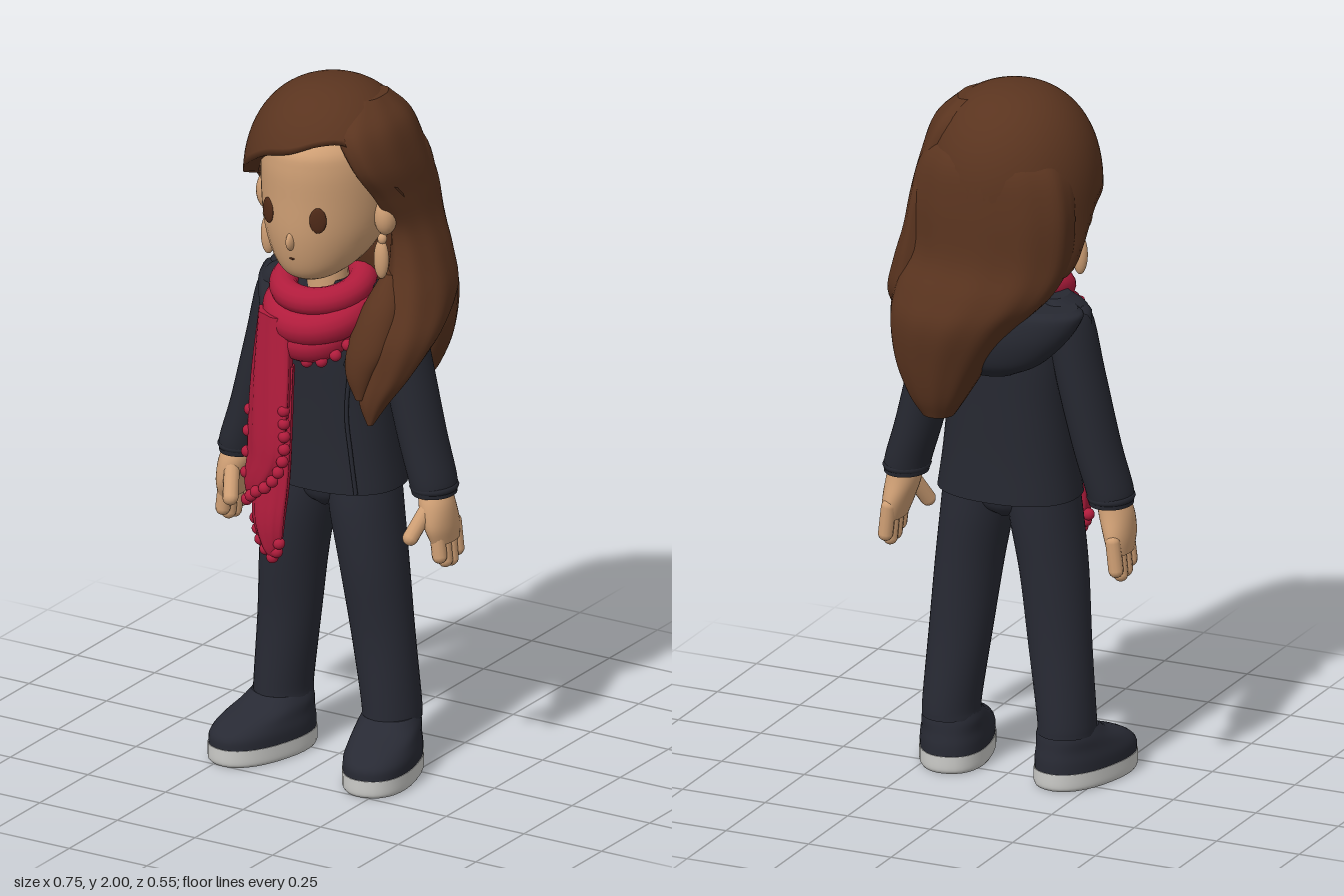
import * as THREE from 'three';

const mat = (name, color, side = THREE.FrontSide) => {
  const m = new THREE.MeshStandardMaterial({ color, side });
  m.name = name;
  return m;
};

// Smooth body through elliptical sections [y, cx, cz, rx, rz]; ripple adds soft lobes.
function loft(sections, { s = 1, seg = 32, rows = 5, power = 2, ripple = 0, lobes = 9 } = {}) {
  const list = [...sections].sort((a, b) => a[0] - b[0]);
  const path = new THREE.CatmullRomCurve3(list.map(p => new THREE.Vector3(p[1] * s, p[0], p[2])), false, 'catmullrom', 0.5);
  const size = new THREE.CatmullRomCurve3(list.map(p => new THREE.Vector3(p[3], p[4], 0)), false, 'catmullrom', 0.5);
  const n = (list.length - 1) * rows, pos = [], idx = [];
  const bend = v => Math.sign(v) * Math.abs(v) ** (2 / power);
  const ring = t => {
    const c = path.getPoint(t), r = size.getPoint(t);
    for (let i = 0; i < seg; i++) {
      const a = i / seg * Math.PI * 2, k = 1 + ripple * Math.cos(lobes * a + 3 * t);
      pos.push(c.x + Math.max(r.x, 0.002) * k * bend(Math.sin(a)), c.y, c.z + Math.max(r.y, 0.002) * k * bend(Math.cos(a)));
    }
    return c;
  };
  for (let j = 0; j <= n; j++) ring(j / n);
  for (let j = 0; j < n; j++) for (let i = 0; i < seg; i++) {
    const a = j * seg + i, b = j * seg + (i + 1) % seg;
    idx.push(a, b, b + seg, a, b + seg, a + seg);
  }
  for (const t of [0, 1]) {
    const base = pos.length / 3, c = ring(t);
    pos.push(c.x, c.y, c.z);
    for (let i = 0; i < seg; i++) {
      const a = base + i, b = base + (i + 1) % seg;
      t ? idx.push(base + seg, a, b) : idx.push(base + seg, b, a);
    }
  }
  return build(pos, idx);
}

function build(pos, idx) {
  const g = new THREE.BufferGeometry();
  g.setAttribute('position', new THREE.Float32BufferAttribute(pos, 3));
  g.setIndex(idx);
  g.computeVertexNormals();
  return g;
}

// Domed hair shell whose lower edge sweeps diagonally across the forehead.
function hairCap() {
  const edge = [1.845, 1.875, 1.87, 1.78, 1.68, 1.55, 1.5, 1.5, 1.5, 1.5, 1.5, 1.52, 1.67, 1.705, 1.765, 1.82];
  const curve = new THREE.CatmullRomCurve3(edge.map(y => new THREE.Vector3(0, y, 0)), true, 'catmullrom', 0.5);
  const seg = 64, rows = 18, pos = [], idx = [];
  for (let j = 0; j <= rows + 1; j++) for (let i = 0; i < seg; i++) {
    const a = i / seg * Math.PI * 2, u = Math.min(j / rows, 1);
    const y = 2 - (2 - curve.getPoint(i / seg).y) * u * u;
    const h = Math.max(0, (y - 1.7) / 0.3);
    const f = Math.max(0, 1 - h ** 2.25) ** (1 / 2.25) * (j > rows ? 0.82 : 1);
    pos.push(0.245 * f * Math.sin(a), y, 0.035 + 0.25 * f * Math.cos(a));
  }
  for (let j = 0; j <= rows; j++) for (let i = 0; i < seg; i++) {
    const a = j * seg + i, b = j * seg + (i + 1) % seg;
    idx.push(a, b + seg, b, a, a + seg, b + seg);
  }
  return build(pos, idx);
}

export function createModel() {
  const root = new THREE.Group();
  root.name = 'standingWoman';
  const skin = mat('skin', 0xd0a075), hair = mat('brownHair', 0x5a341f, THREE.DoubleSide);
  const coat = mat('darkCoat', 0x262831), cloth = mat('darkTrousers', 0x282a34);
  const red = mat('redScarf', 0xb01c3c), sole = mat('paleSole', 0xcacac7), brown = mat('eyeBrown', 0x4f2a18);
  const add = (name, geo, m, parent = root) => {
    const mesh = new THREE.Mesh(geo, m);
    mesh.name = name;
    parent.add(mesh);
    return mesh;
  };
  const ball = (name, m, p, r, parent = root) => {
    const b = add(name, new THREE.SphereGeometry(1, 20, 14), m, parent);
    b.position.set(...p);
    b.scale.set(...r);
    return b;
  };
  const capsule = (name, m, a, b, r) => {
    const A = new THREE.Vector3(...a), B = new THREE.Vector3(...b), d = B.clone().sub(A);
    const c = add(name, new THREE.CapsuleGeometry(r, d.length(), 5, 12), m);
    c.position.copy(A).add(B).multiplyScalar(0.5);
    c.quaternion.setFromUnitVectors(new THREE.Vector3(0, 1, 0), d.normalize());
  };
  const tube = (name, m, pts, r) => add(name, new THREE.TubeGeometry(
    new THREE.CatmullRomCurve3(pts.map(p => new THREE.Vector3(...p))), 24, r, 10), m);

  // Head and face
  add('head', loft([[1.455, 0, 0.15, 0.035, 0.035], [1.475, 0, 0.135, 0.08, 0.085], [1.52, 0, 0.092, 0.128, 0.15],
    [1.6, 0, 0.058, 0.165, 0.2], [1.7, 0, 0.053, 0.177, 0.21], [1.8, 0, 0.053, 0.176, 0.212],
    [1.86, 0, 0.04, 0.16, 0.205], [1.93, 0, 0.03, 0.09, 0.11]]), skin);
  add('neck', new THREE.CylinderGeometry(0.055, 0.06, 0.2, 24), skin).position.set(0, 1.44, 0.06);
  ball('nose', skin, [0, 1.588, 0.248], [0.012, 0.028, 0.025]);
  ball('mouth', brown, [0, 1.535, 0.246], [0.008, 0.003, 0.004]);
  for (const s of [1, -1]) {
    ball('eye', brown, [s * 0.08, 1.66, 0.24], [0.024, 0.037, 0.007]).rotation.y = s * 0.42;
    ball('ear', skin, [s * 0.19, 1.64, 0.065], [0.032, 0.055, 0.034]);
    ball('earringStud', skin, [s * 0.185, 1.575, 0.075], [0.013, 0.016, 0.013]);
    ball('earringDrop', skin, [s * 0.182, 1.515, 0.075], [0.022, 0.058, 0.018]);
  }

  // Hair
  add('sweptFringe', hairCap(), hair);
  add('backHair', loft([[1.9, 0.02, -0.04, 0.1, 0.08], [1.82, 0.01, -0.065, 0.205, 0.13], [1.7, 0.008, -0.085, 0.24, 0.132],
    [1.55, 0.012, -0.092, 0.236, 0.135], [1.45, 0.046, -0.122, 0.228, 0.138], [1.36, 0.09, -0.145, 0.19, 0.135],
    [1.24, 0.125, -0.158, 0.137, 0.102], [1.14, 0.135, -0.162, 0.085, 0.072], [1.08, 0.135, -0.16, 0.045, 0.045]],
    { seg: 64, ripple: 0.012, lobes: 11 }), hair);
  add('sideHair', loft([[1.965, 0.11, 0.01, 0.035, 0.07], [1.9, 0.135, 0.035, 0.078, 0.15], [1.8, 0.178, 0.025, 0.066, 0.16],
    [1.7, 0.2, -0.025, 0.055, 0.14], [1.6, 0.213, -0.06, 0.054, 0.115], [1.5, 0.228, -0.06, 0.07, 0.12],
    [1.4, 0.24, -0.035, 0.086, 0.135], [1.3, 0.235, 0.04, 0.096, 0.11], [1.2, 0.22, 0.105, 0.072, 0.065],
    [1.12, 0.2, 0.14, 0.042, 0.04], [1.06, 0.2, 0.16, 0.008, 0.012]], { seg: 48, ripple: 0.02, lobes: 8 }), hair);
  add('shoulderLock', loft([[1.47, 0.2, 0.03, 0.03, 0.04], [1.38, 0.195, 0.09, 0.055, 0.05], [1.28, 0.18, 0.14, 0.06, 0.04],
    [1.2, 0.165, 0.16, 0.042, 0.03], [1.13, 0.17, 0.17, 0.012, 0.01]]), hair);

  // Coat with hood and front edges
  add('coatBody', loft([[0.83, 0, 0.015, 0.205, 0.15], [0.95, 0, 0.015, 0.188, 0.142], [1.1, 0, 0.015, 0.175, 0.137],
    [1.25, 0, 0.015, 0.178, 0.132], [1.36, 0, 0.01, 0.175, 0.11], [1.43, 0, 0.02, 0.1, 0.08]], { seg: 48, power: 2.3 }), coat);
  add('hood', loft([[1.21, 0, -0.11, 0.07, 0.05], [1.25, 0, -0.11, 0.15, 0.08], [1.32, 0, -0.09, 0.22, 0.11],
    [1.385, 0, -0.07, 0.255, 0.115], [1.405, 0, -0.06, 0.235, 0.1]], { seg: 40 }), coat);
  for (const s of [1, -1]) {
    tube('hoodEdge', coat, [[s * 0.245, 1.365, -0.05], [s * 0.205, 1.36, 0.04], [s * 0.15, 1.29, 0.115], [s * 0.125, 1.2, 0.13]], 0.028);
    tube('frontEdge', coat, [[s * 0.12, 1.25, 0.127], [s * 0.11, 1.07, 0.14], [s * 0.125, 0.95, 0.142], [s * 0.14, 0.835, 0.14]], 0.006);
    add('sleeve', loft([[1.42, 0.15, 0, 0.03, 0.05], [1.37, 0.182, 0, 0.06, 0.075], [1.2, 0.218, 0, 0.066, 0.08],
      [1.0, 0.267, 0.002, 0.065, 0.078], [0.88, 0.303, 0.005, 0.064, 0.076], [0.835, 0.31, 0.005, 0.06, 0.07]], { s }), coat);
    const cuff = add('cuff', new THREE.TorusGeometry(0.054, 0.012, 8, 28), coat);
    cuff.position.set(s * 0.309, 0.855, 0.005);
    cuff.rotation.x = Math.PI / 2;
    cuff.scale.y = 1.15;

    // Hand
    add('palm', loft([[0.86, 0.312, 0.005, 0.04, 0.045], [0.81, 0.322, 0.012, 0.047, 0.06],
      [0.75, 0.335, 0.008, 0.039, 0.07], [0.7, 0.342, 0, 0.028, 0.06]], { s }), skin);
    [0.665, 0.645, 0.64, 0.66].forEach((y, i) => {
      const z = 0.042 - i * 0.03;
      capsule('finger', skin, [s * 0.34, 0.74, z], [s * 0.349, y, z], 0.021);
    });
    capsule('thumb', skin, [s * 0.315, 0.8, 0.05], [s * 0.29, 0.725, 0.098], 0.022);

    // Trouser leg
    add('trouserLeg', loft([[0.15, 0.175, 0.008, 0.08, 0.092], [0.2, 0.173, 0.008, 0.08, 0.092], [0.4, 0.15, 0.015, 0.088, 0.09],
      [0.6, 0.128, 0.025, 0.094, 0.104], [0.76, 0.104, 0.025, 0.1, 0.113], [0.88, 0.09, 0.02, 0.1, 0.11]], { s }), cloth);

    // Shoe, turned slightly outward
    const shoe = new THREE.Group();
    shoe.name = 'shoe';
    shoe.position.set(s * 0.194, 0, 0.086);
    shoe.rotation.y = s * 0.26;
    root.add(shoe);
    add('shoeSole', loft([[0, 0, 0, 0.095, 0.17], [0.012, 0, 0, 0.1, 0.176], [0.05, 0, 0, 0.1, 0.176]], { power: 2.3 }), sole, shoe);
    add('shoeUpper', loft([[0.045, 0, 0, 0.098, 0.174], [0.08, 0, -0.002, 0.098, 0.171], [0.11, 0, -0.02, 0.092, 0.148],
      [0.14, 0, -0.058, 0.086, 0.106], [0.165, 0, -0.074, 0.076, 0.084]], { power: 2.3 }), cloth, shoe);
  }
  add('trouserSeat', loft([[0.76, 0, 0.025, 0.02, 0.06], [0.8, 0, 0.022, 0.11, 0.1], [0.9, 0, 0.02, 0.175, 0.115]]), cloth);

  // Scarf wraps: [y, z, ring radius, roll radius, tilt]
  [[1.415, 0.07, 0.11, 0.04, 0.25], [1.355, 0.085, 0.112, 0.05, 0.38], [1.29, 0.112, 0.07, 0.052, 0.4]].forEach(([y, z, R, r, tilt]) => {
    const wrap = add('scarfWrap', new THREE.TorusGeometry(R, r, 14, 40), red);
    wrap.position.set(-0.008, y, z);
    wrap.rotation.x = Math.PI / 2 + tilt;
  });

  // Hanging scarf tails, angled around the chest
  const tails = new THREE.Group();
  tails.name = 'scarfTails';
  tails.position.set(-0.1, 0, 0.205);
  tails.rotation.y = -0.42;
  root.add(tails);
  add('scarfTailFront', loft([[1.34, 0, -0.025, 0.065, 0.04], [1.15, 0.005, -0.005, 0.08, 0.036], [1.0, 0.01, 0.012, 0.08, 0.03],
    [0.92, 0.005, 0.018, 0.072, 0.026], [0.84, -0.025, 0.024, 0.046, 0.022], [0.79, -0.048, 0.025, 0.012, 0.01]], { ripple: 0.06, lobes: 7 }), red, tails);
  add('scarfTailBack', loft([[1.2, 0.01, -0.03, 0.065, 0.02], [0.9, 0, -0.015, 0.072, 0.03], [0.75, 0, 0, 0.064, 0.032],
    [0.67, 0.01, 0, 0.04, 0.025], [0.63, 0.02, 0, 0.012, 0.01]], { ripple: 0.06, lobes: 7 }), red, tails);

  // Pompom trim along the scarf edges
  const trim = (pts, count, parent) => new THREE.CatmullRomCurve3(pts.map(p => new THREE.Vector3(...p))).getSpacedPoints(count - 1)
    .forEach(p => ball('pompom', red, p.toArray(), [0.017, 0.017, 0.017], parent));
  trim([[0.08, 1.08, 0.005], [0.09, 0.94, 0.015], [0.05, 0.86, 0.032], [0, 0.825, 0.045], [-0.055, 0.785, 0.035]], 11, tails);
  trim([[-0.07, 1.04, 0.015], [-0.066, 0.95, 0.025], [-0.066, 0.86, 0.03]], 4, tails);
  trim([[-0.064, 0.72, 0], [-0.02, 0.665, 0.01], [0.022, 0.63, 0], [0.05, 0.68, 0]], 7, tails);
  trim([[0.01, 1.215, 0.185], [0.06, 1.225, 0.18], [0.11, 1.26, 0.16], [0.14, 1.31, 0.13]], 5, root);
  return root;
}
